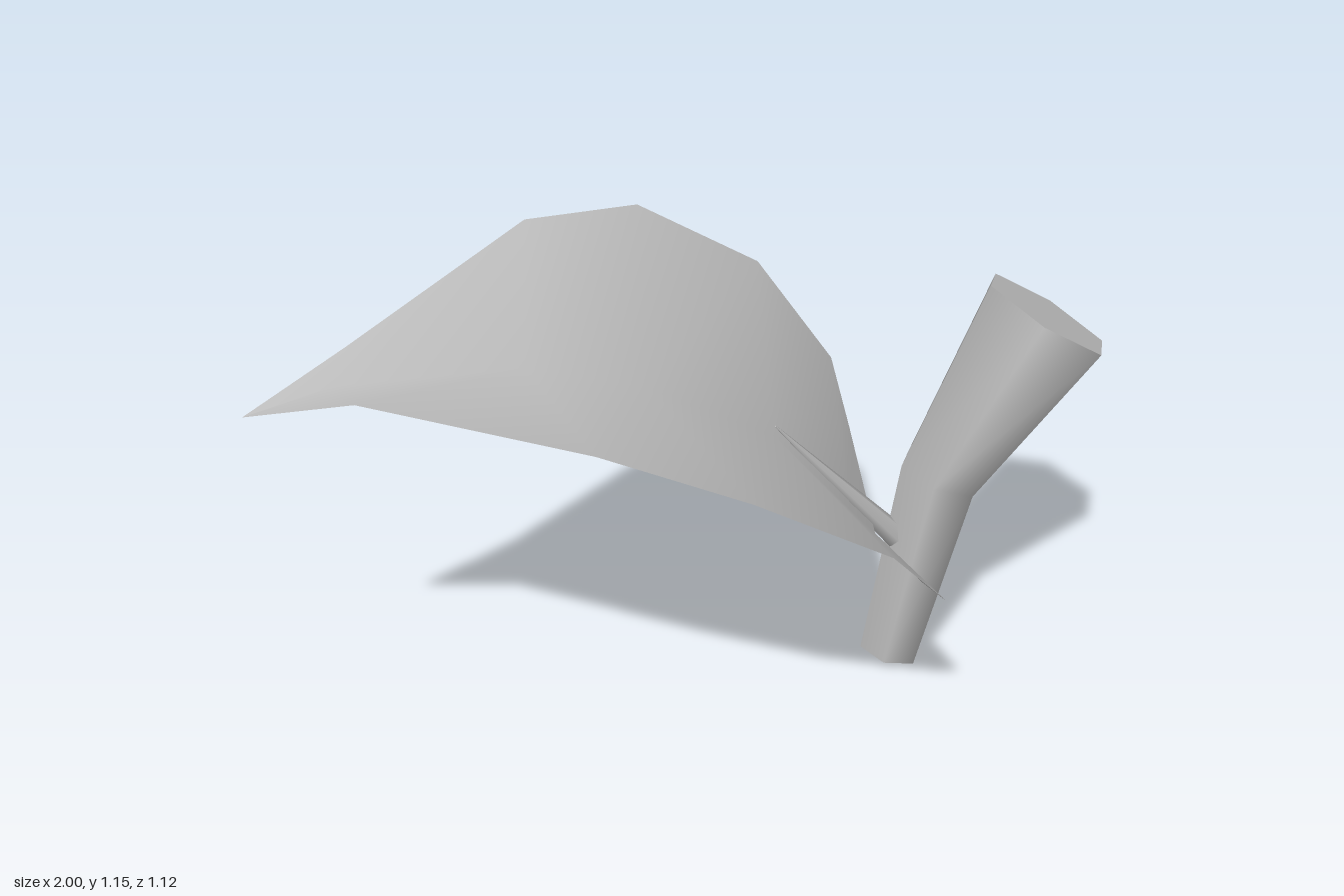
import * as THREE from 'three';

const grey = new THREE.MeshStandardMaterial({ color: 0xbbbbbb });
grey.name = 'grey';
const leafGrey = new THREE.MeshStandardMaterial({ color: 0xbbbbbb, side: THREE.DoubleSide });
leafGrey.name = 'leafGrey';

// Smooth surface through rows of points with equal counts
function loft(rows) {
  const n = rows[0].length, index = [];
  for (let i = 0; i < rows.length - 1; i++)
    for (let j = 0; j < n - 1; j++) {
      const a = i * n + j, b = a + n;
      index.push(a, a + 1, b, a + 1, b + 1, b);
    }
  const g = new THREE.BufferGeometry();
  g.setAttribute('position', new THREE.Float32BufferAttribute(rows.flat(2), 3));
  g.setIndex(index);
  g.computeVertexNormals();
  return g;
}

// Six-sided ring: u is its radius direction in the xy plane, the other axis is z
function hexRing([x, y, z, r, angle]) {
  const pts = [];
  for (let k = 0; k < 6; k++) {
    const t = k * Math.PI / 3, c = r * Math.cos(t);
    pts.push([x + c * Math.cos(angle), y + c * Math.sin(angle), z + r * Math.sin(t)]);
  }
  return pts;
}

// Six-sided branch: smooth sides and flat end caps
function branch() {
  const sections = [
    [0.508, 0.022, -0.092, 0.081, -0.21],
    [0.61, 0.525, -0.094, 0.107, -0.34],
    [0.848, 0.928, -0.095, 0.173, -0.535],
  ];
  const rings = sections.map(hexRing), pos = [], index = [];
  rings.forEach(r => r.forEach(p => pos.push(...p)));
  for (let i = 0; i < 2; i++)
    for (let k = 0; k < 6; k++) {
      const a = i * 6 + k, b = i * 6 + (k + 1) % 6;
      index.push(a, a + 6, b, b, a + 6, b + 6);
    }
  const sides = new THREE.BufferGeometry();
  sides.setAttribute('position', new THREE.Float32BufferAttribute(pos, 3));
  sides.setIndex(index);
  sides.computeVertexNormals();

  const group = new THREE.Group();
  group.name = 'branch';
  const add = (g, name) => {
    const m = new THREE.Mesh(g, grey);
    m.name = name;
    group.add(m);
  };
  add(sides, 'branchSides');
  for (const [ring, up, name] of [[rings[0], false, 'branchBottom'], [rings[2], true, 'branchTop']]) {
    const cap = new THREE.BufferGeometry(), idx = [];
    cap.setAttribute('position', new THREE.Float32BufferAttribute(ring.flat(), 3));
    for (let k = 1; k < 5; k++) idx.push(0, up ? k + 1 : k, up ? k : k + 1);
    cap.setIndex(idx);
    cap.computeVertexNormals();
    add(cap, name);
  }
  return group;
}

export function createModel() {
  const model = new THREE.Group();
  model.name = 'leafOnBranch';
  model.add(branch());

  // Leaf: each row runs from the back edge over the midrib to the front edge
  const rows = [
    [[-1, 0.945, 0], [-1, 0.945, 0], [-1, 0.945, 0]],
    [[-0.77, 1.04, -0.085], [-0.8, 1.0, 0.01], [-0.77, 1.003, 0.11]],
    [[-0.33, 1.16, -0.395], [-0.4, 0.993, 0.012], [-0.33, 1.012, 0.45]],
    [[-0.04, 1.115, -0.527], [-0.13, 0.905, 0], [-0.04, 0.925, 0.558]],
    [[0.27, 0.92, -0.56], [0.165, 0.735, -0.015], [0.27, 0.73, 0.525]],
    [[0.455, 0.655, -0.507], [0.36, 0.5, -0.03], [0.455, 0.495, 0.383]],
    [[0.465, 0.525, -0.365], [0.43, 0.415, -0.03], [0.465, 0.425, 0.2]],
  ];
  const leaf = new THREE.Mesh(loft(rows), leafGrey);
  leaf.name = 'leaf';
  model.add(leaf);

  // Thin stalk tapering from the branch to a point on the leaf
  const base = new THREE.Vector3(0.505, 0.365, -0.09), tip = new THREE.Vector3(0.175, 0.745, -0.04);
  const dir = tip.clone().sub(base);
  const stalk = new THREE.Mesh(new THREE.CylinderGeometry(0.002, 0.032, dir.length(), 6), grey);
  stalk.name = 'stalk';
  stalk.position.copy(base).add(tip).multiplyScalar(0.5);
  stalk.quaternion.setFromUnitVectors(new THREE.Vector3(0, 1, 0), dir.normalize());
  model.add(stalk);
  return model;
}
